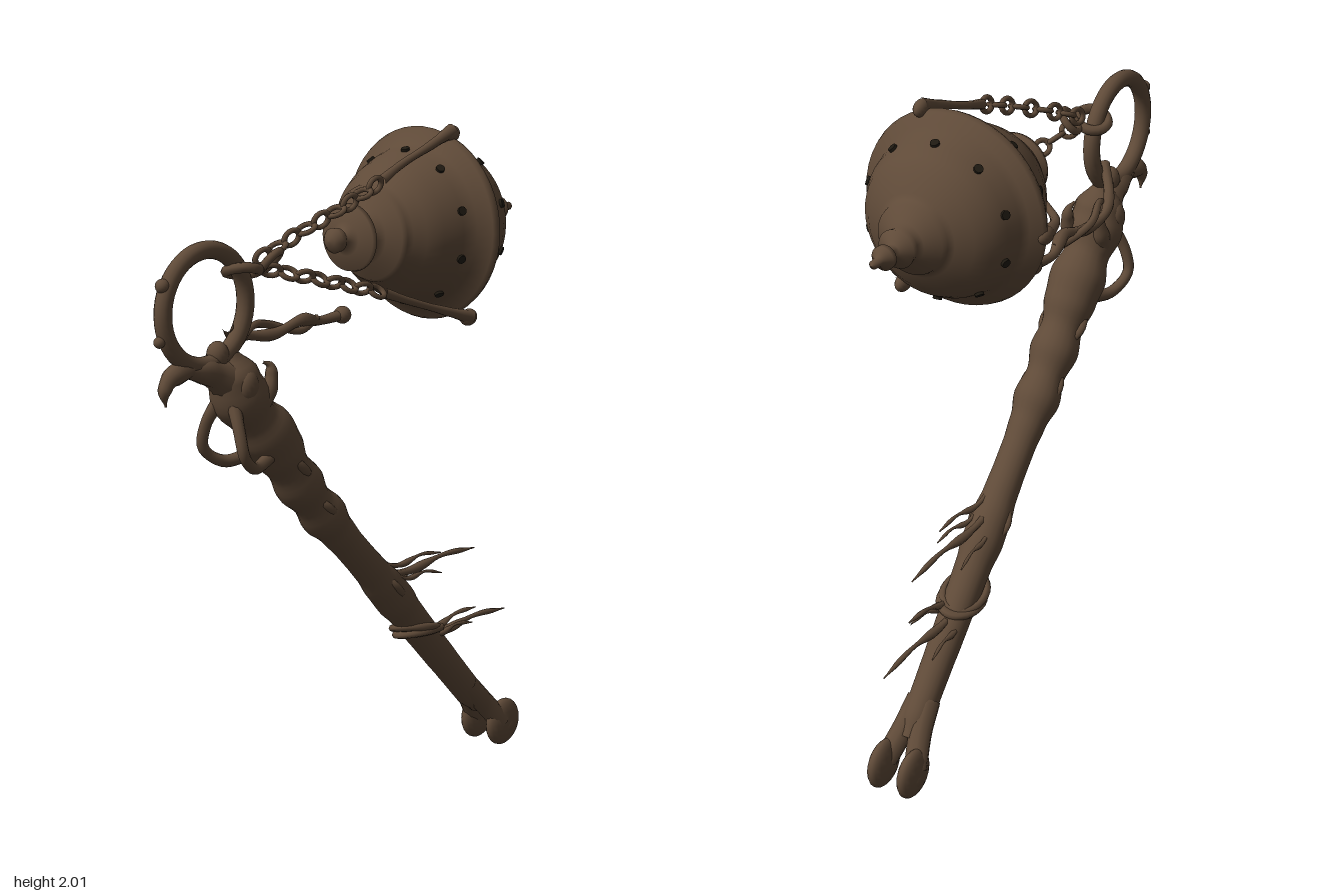
import * as THREE from 'three';
import { mergeVertices } from 'three/addons/utils/BufferGeometryUtils.js';

const bronze = new THREE.MeshStandardMaterial({ color: 0x5f4a38 });
bronze.name = 'aged bronze';
const dark = new THREE.MeshStandardMaterial({ color: 0x1f1a12 });
dark.name = 'dark hole';

const V = (p) => new THREE.Vector3(...p);

export function createModel() {
  const model = new THREE.Group();

  function add(name, geo, pos = [0, 0, 0], parent = model, mat = bronze) {
    const m = new THREE.Mesh(geo, mat);
    m.name = name;
    m.position.set(...pos);
    parent.add(m);
    return m;
  }
  const ball = (name, pos, r, sx = 1, sy = 1, sz = 1, parent = model) => {
    const m = add(name, new THREE.SphereGeometry(r, 18, 12), pos, parent);
    m.scale.set(sx, sy, sz);
    return m;
  };

  // Smooth tube through points, with evenly spaced radii along its length
  function tube(name, pts, radii, seg = 24, sides = 10, parent = model) {
    const curve = new THREE.CatmullRomCurve3(pts.map(V));
    let geo = new THREE.TubeGeometry(curve, seg, 1, sides);
    const p = geo.attributes.position, v = new THREE.Vector3();
    for (let i = 0; i <= seg; i++) {
      const t = i / seg, c = curve.getPointAt(t);
      const f = t * (radii.length - 1), k = Math.min(Math.floor(f), radii.length - 2);
      const r = THREE.MathUtils.lerp(radii[k], radii[k + 1], THREE.MathUtils.smoothstep(f - k, 0, 1));
      for (let j = 0; j <= sides; j++) {
        const n = i * (sides + 1) + j;
        v.fromBufferAttribute(p, n).sub(c).multiplyScalar(r).add(c);
        p.setXYZ(n, v.x, v.y, v.z);
      }
    }
    geo.deleteAttribute('uv');
    geo.deleteAttribute('normal');
    geo = mergeVertices(geo, 1e-5);
    geo.computeVertexNormals();
    return add(name, geo, [0, 0, 0], parent);
  }

  // Chain of oval links, each turned a quarter from the last
  function chain(name, pts, count) {
    const g = new THREE.Group();
    g.name = name;
    model.add(g);
    const curve = new THREE.CatmullRomCurve3(pts.map(V));
    const half = (curve.getLength() / count) * 0.5 + 0.009;
    for (let i = 0; i < count; i++) {
      const t = (i + 0.5) / count;
      const geo = new THREE.TorusGeometry(0.021, 0.0075, 8, 16);
      geo.scale(half / 0.0285, 1, 1);
      geo.rotateX((i % 2) * Math.PI / 2 + 0.5);
      const link = add('chainLink', geo, curve.getPointAt(t).toArray(), g);
      link.quaternion.setFromUnitVectors(new THREE.Vector3(1, 0, 0), curve.getTangentAt(t));
    }
  }

  // Censer, turned about the z axis
  const censer = new THREE.Group();
  censer.name = 'censer';
  censer.position.y = 1.71;
  model.add(censer);
  const profile = [
    [0, -0.745], [0.012, -0.735], [0.014, -0.71], [0.034, -0.69], [0.034, -0.675], [0.015, -0.655],
    [0.02, -0.64], [0.055, -0.625], [0.05, -0.6], [0.06, -0.585], [0.1, -0.56], [0.105, -0.54],
    [0.12, -0.53], [0.165, -0.505], [0.2, -0.47], [0.222, -0.43], [0.235, -0.385], [0.25, -0.365],
    [0.278, -0.345], [0.283, -0.33], [0.276, -0.315], [0.235, -0.295], [0.222, -0.25], [0.2, -0.19],
    [0.175, -0.145], [0.145, -0.12], [0.14, -0.1], [0.132, -0.085], [0.085, -0.068], [0.065, -0.05],
    [0.07, -0.035], [0.098, -0.015], [0.095, 0], [0.05, 0.01], [0.022, 0.022], [0.034, 0.04],
    [0.036, 0.06], [0.02, 0.077], [0, 0.08],
  ].map(([r, z]) => new THREE.Vector2(r, z));
  add('censerBody', new THREE.LatheGeometry(profile, 48).rotateX(Math.PI / 2), [0, 0, 0], censer);

  // Vent holes in two rows
  for (const [r, z, tilt] of [[0.225, -0.25, 0.3], [0.226, -0.43, -0.4]]) {
    for (let i = 0; i < 10; i++) {
      const a = (i + 0.5) * Math.PI / 5, c = Math.cos(a), s = Math.sin(a);
      const vent = add('vent', new THREE.CylinderGeometry(0.013, 0.013, 0.008, 10), [r * c, r * s, z], censer, dark);
      vent.quaternion.setFromUnitVectors(new THREE.Vector3(0, 1, 0),
        new THREE.Vector3(c, s, tilt).normalize());
    }
  }

  // Arms from the rim towards the chains
  const armR = [0.02, 0.014, 0.011, 0.012, 0.015];
  tube('upperArm', [[0.1, 1.99, -0.34], [0.1, 1.955, -0.24], [0.09, 1.915, -0.13], [0.1, 1.88, -0.03]], armR);
  tube('lowerArm', [[0.17, 1.45, -0.35], [0.155, 1.485, -0.24], [0.135, 1.53, -0.11], [0.12, 1.565, -0.02]], armR);
  tube('sideArm', [[-0.27, 1.69, -0.31], [-0.25, 1.69, -0.23], [-0.17, 1.69, -0.15], [-0.1, 1.69, -0.1]], armR);
  for (const p of [[0.1, 1.98, -0.335], [0.165, 1.45, -0.345], [-0.272, 1.69, -0.32]]) {
    ball('armPin', p, 0.025, 0.8, 1, 1.3);
  }

  // Chains and the loose strand
  chain('upperChain', [[0.02, 1.7, 0.4], [0.05, 1.76, 0.27], [0.09, 1.83, 0.1], [0.1, 1.88, -0.03]], 9);
  chain('lowerChain', [[0.03, 1.68, 0.38], [0.07, 1.65, 0.27], [0.1, 1.6, 0.1], [0.12, 1.565, -0.02]], 8);
  const loop = new THREE.TorusGeometry(0.045, 0.015, 8, 24).rotateX(Math.PI / 2);
  add('ringLoop', loop, [0.01, 1.68, 0.44]).rotation.set(-0.25, 0, 0.3);
  add('smallLoop', loop.clone().scale(0.8, 0.8, 0.8), [0.04, 1.7, 0.36]).rotation.set(0.4, 0, 0.8);
  tube('looseStrand', [[-0.01, 1.53, 0.48], [-0.07, 1.48, 0.4], [-0.11, 1.46, 0.3], [-0.1, 1.45, 0.2],
    [-0.09, 1.475, 0.1], [-0.11, 1.455, 0.0], [-0.1, 1.46, -0.08]],
  [0.016, 0.015, 0.017, 0.013, 0.018, 0.014, 0.02, 0.013, 0.016], 40);
  tube('looseStrandTwist', [[-0.06, 1.46, 0.38], [-0.09, 1.49, 0.3], [-0.12, 1.475, 0.2],
    [-0.09, 1.445, 0.1], [-0.1, 1.47, 0.02]], [0.01, 0.012, 0.01], 30, 8);
  ball('strandEnd', [-0.1, 1.46, -0.09], 0.026);

  // Top ring with its horn and studs
  add('topRing', new THREE.TorusGeometry(0.158, 0.025, 14, 48).rotateY(Math.PI / 2), [0, 1.597, 0.577]);
  tube('ringHorn', [[0, 1.44, 0.64], [0, 1.425, 0.71], [0, 1.39, 0.735], [0, 1.35, 0.73]], [0.025, 0.03, 0.02, 0.003]);
  ball('ringStud', [0, 1.68, 0.735], 0.02);
  ball('ringStud', [0, 1.53, 0.75], 0.016);
  tube('ringSocket', [[0, 1.435, 0.66], [0, 1.42, 0.57], [0, 1.38, 0.48]], [0.02, 0.04, 0.06]);

  // Bone handle
  tube('handle', [[0, 1.47, 0.49], [0, 1.34, 0.45], [0, 1.18, 0.32], [0, 1.01, 0.19], [0, 0.62, -0.18],
    [0, 0.38, -0.4], [0, 0.14, -0.62]],
  [0.02, 0.072, 0.085, 0.068, 0.085, 0.078, 0.062, 0.073, 0.058, 0.07, 0.055, 0.05, 0.05, 0.052, 0.06,
    0.062, 0.054, 0.052, 0.05, 0.049, 0.047, 0.046, 0.045, 0.03], 110, 20);
  ball('handleCrest', [0, 1.46, 0.53], 0.035, 0.9, 1.1, 0.9);

  // Raised collars across the upper handle
  for (const [y, z, r] of [[1.2, 0.335, 0.07], [1.1, 0.258, 0.063], [0.95, 0.135, 0.056]]) {
    add('collar', new THREE.TorusGeometry(r, 0.014, 8, 24), [0, y, z]).rotation.x = 0.86;
  }

  for (const s of [-1, 1]) {
    // Carved side loops and knuckles near the head
    tube('sideLoop', [[s * 0.03, 1.32, 0.5], [s * 0.065, 1.25, 0.515], [s * 0.08, 1.18, 0.51],
      [s * 0.06, 1.135, 0.45], [s * 0.03, 1.15, 0.35]], [0.02, 0.017, 0.016, 0.018, 0.02]);
    tube('headHorn', [[s * 0.04, 1.3, 0.42], [s * 0.055, 1.35, 0.385], [s * 0.05, 1.41, 0.375],
      [s * 0.045, 1.425, 0.4]], [0.035, 0.025, 0.018, 0.004]);
    ball('headKnuckle', [s * 0.055, 1.37, 0.47], 0.035, 0.8, 1.3, 1);
    // Forked foot
    tube('footProng', [[s * 0.015, 0.23, -0.54], [s * 0.028, 0.16, -0.605], [s * 0.05, 0.08, -0.67]],
      [0.036, 0.034, 0.034]);
    ball('footLobe', [s * 0.05, 0.075, -0.682], 0.075, 0.4, 1, 1);
    ball('footKnob', [s * 0.068, 0.065, -0.69], 0.026, 0.5, 1, 1);
  }

  // Cord wraps on the lower handle
  for (const [y, z, tilt] of [[0.455, -0.325, 1.5], [0.47, -0.31, 1.35], [0.64, -0.165, 0.75]]) {
    const wrap = add('cordWrap', new THREE.TorusGeometry(0.058, 0.012, 8, 28), [0, y, z]);
    wrap.scale.y = tilt > 1 ? 1.35 : 1;
    wrap.rotation.set(tilt, tilt > 1 ? 0.25 : 0, 0);
  }

  // Frayed wisps trailing backwards: x, start y/z, end y/z, radius
  for (const [x, y0, z0, y1, z1, r] of [
    [0.02, 0.71, -0.14, 0.7, -0.38, 0.009], [0, 0.67, -0.16, 0.66, -0.59, 0.013],
    [-0.025, 0.64, -0.2, 0.615, -0.41, 0.008], [0.03, 0.67, -0.18, 0.645, -0.36, 0.008],
    [0.02, 0.46, -0.3, 0.485, -0.55, 0.011], [0, 0.44, -0.32, 0.425, -0.745, 0.013],
    [-0.025, 0.42, -0.36, 0.4, -0.57, 0.009], [0.03, 0.45, -0.33, 0.45, -0.51, 0.009],
  ]) {
    const at = (t, dy) => [x * (1 + t), y0 + (y1 - y0) * t + dy, z0 + (z1 - z0) * t];
    tube('wisp', [at(0, 0), at(0.3, -0.01), at(0.65, 0.008), at(1, 0)],
      [r * 1.2, r * 0.8, r * 1.1, r * 0.5, r * 0.7, 0.002], 20, 6);
  }

  return model;
}
